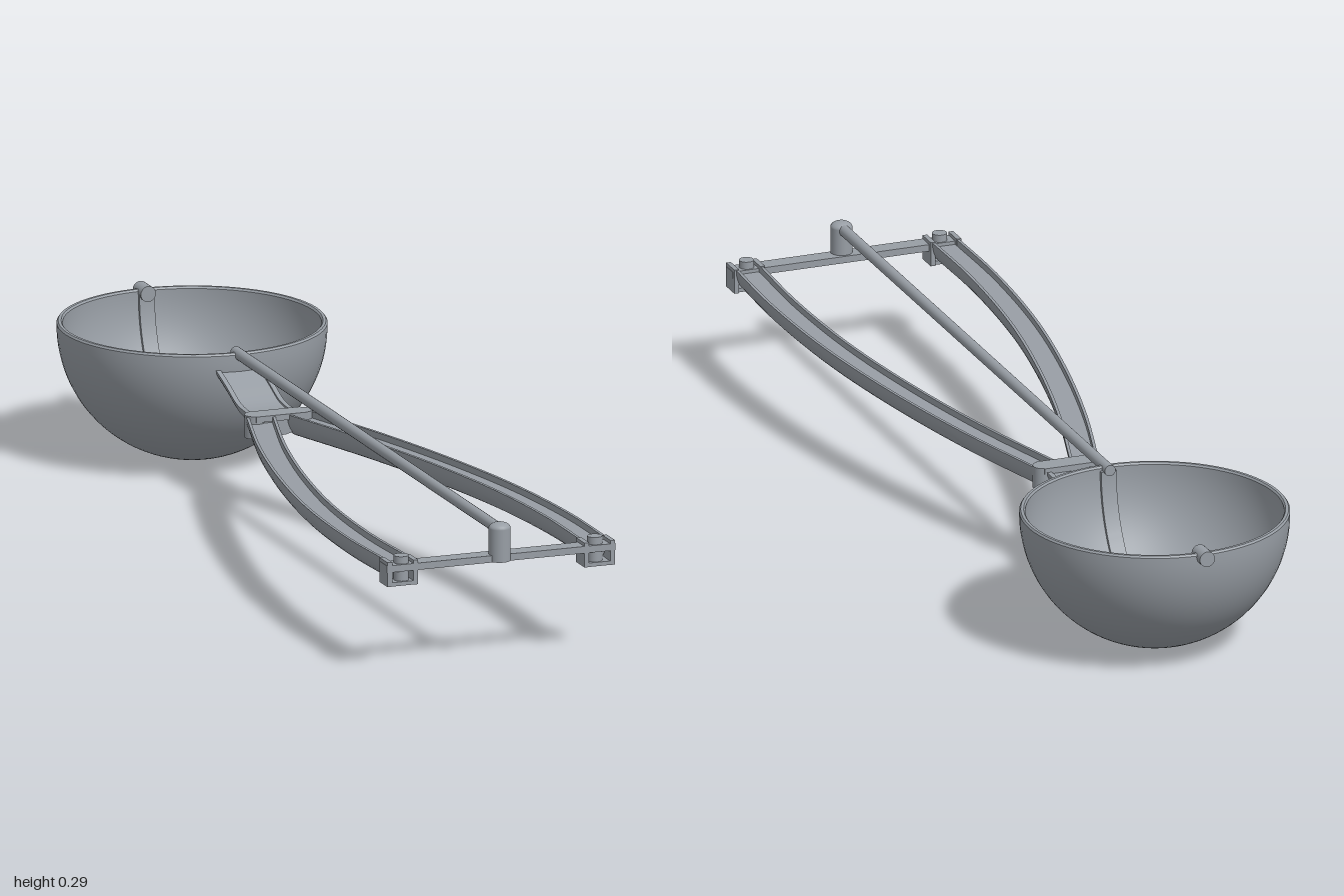
import * as THREE from 'three';
import { toCreasedNormals } from 'three/addons/utils/BufferGeometryUtils.js';

const V = (x, y, z) => new THREE.Vector3(x, y, z);

// D-shaped section: round underside, flat top with a shallow channel between two lips
function channelSection(halfW, depth, lip, recess) {
  const pts = [];
  for (let k = 0; k <= 14; k++) {
    const a = Math.PI + (k / 14) * Math.PI;
    pts.push(new THREE.Vector2(halfW * Math.cos(a), depth * Math.sin(a)));
  }
  const w = halfW - lip;
  pts.push(new THREE.Vector2(w, 0), new THREE.Vector2(w, -recess),
    new THREE.Vector2(-w, -recess), new THREE.Vector2(-w, 0));
  return pts;
}

// Sweeps a section along a path, keeping it upright
function sweep(points, section, steps) {
  const curve = new THREE.CatmullRomCurve3(points, false, 'centripetal');
  const up = V(0, 1, 0), n = section.length, pos = [], idx = [];
  for (let i = 0; i <= steps; i++) {
    const p = curve.getPoint(i / steps), t = curve.getTangent(i / steps);
    t.y = 0;
    const side = up.clone().cross(t.normalize());
    for (const q of section) {
      pos.push(p.x + side.x * q.x, p.y + q.y, p.z + side.z * q.x);
    }
  }
  for (let i = 0; i < steps; i++) {
    for (let j = 0; j < n; j++) {
      const k = (j + 1) % n, a = i * n, b = a + n;
      idx.push(a + j, a + k, b + k, a + j, b + k, b + j);
    }
  }
  const last = steps * n;
  for (const [a, b, c] of THREE.ShapeUtils.triangulateShape(section, [])) {
    idx.push(a, c, b, last + a, last + b, last + c);
  }
  const g = new THREE.BufferGeometry();
  g.setAttribute('position', new THREE.Float32BufferAttribute(pos, 3));
  g.setIndex(idx);
  return toCreasedNormals(g, 0.6);
}

export function createModel() {
  const root = new THREE.Group();
  const steel = new THREE.MeshStandardMaterial({ color: 0x989ea5 });
  steel.name = 'brushed steel';

  const add = (name, geometry, x = 0, y = 0, z = 0) => {
    const m = new THREE.Mesh(geometry, steel);
    m.name = name;
    m.position.set(x, y, z);
    root.add(m);
    return m;
  };
  const box = (name, w, h, d, x, y, z) => add(name, new THREE.BoxGeometry(w, h, d), x, y, z);
  const post = (name, r, h, x, y, z) => add(name, new THREE.CylinderGeometry(r, r, h, 24), x, y, z);

  // Hollow bowl with a softly rounded rim
  const cy = 0.268, bowlZ = -0.715, R = 0.268, r = 0.256;
  const profile = [];
  for (let i = 0; i <= 32; i++) {
    const a = (i / 32) * Math.PI / 2;
    profile.push(new THREE.Vector2(R * Math.sin(a), cy - R * Math.cos(a)));
  }
  profile.push(new THREE.Vector2(R, 0.273), new THREE.Vector2(R - 0.003, 0.277),
    new THREE.Vector2(r + 0.003, 0.277), new THREE.Vector2(r, 0.273));
  for (let i = 32; i >= 0; i--) {
    const a = (i / 32) * Math.PI / 2;
    profile.push(new THREE.Vector2(r * Math.sin(a), cy - r * Math.cos(a)));
  }
  add('bowl', toCreasedNormals(new THREE.LatheGeometry(profile, 72), 0.6), 0, 0, bowlZ);

  // Curved scraper band lying inside the bowl
  const band = new THREE.Shape();
  band.absarc(0, 0, 0.254, Math.PI, Math.PI * 2, false);
  band.absarc(0, 0, 0.247, Math.PI * 2, Math.PI, true);
  const bandGeo = new THREE.ExtrudeGeometry(band, { depth: 0.032, bevelEnabled: false, curveSegments: 40 });
  bandGeo.translate(0, 0, -0.016).rotateY(Math.PI / 2);
  add('scraperBand', toCreasedNormals(bandGeo, 0.6), 0, cy, bowlZ);

  // Scraper pivot at the far rim
  const pivot = add('scraperPivot', new THREE.CylinderGeometry(0.016, 0.016, 0.045, 24), 0, 0.27, -0.9775);
  pivot.rotation.x = Math.PI / 2;

  // Long push rod and its post on the crossbar
  const rod = add('pushRod', new THREE.CylinderGeometry(0.0115, 0.0115, 1.45, 20), 0, 0.272, 0.25);
  rod.rotation.x = Math.PI / 2;
  post('rodPost', 0.022, 0.066, 0, 0.242, 0.976);
  const cap = add('rodPostCap', new THREE.SphereGeometry(0.022, 24, 8, 0, Math.PI * 2, 0, Math.PI / 2), 0, 0.275, 0.976);
  cap.scale.y = 0.55;

  // Crossbar joining the handle ends
  box('crossbar', 0.484, 0.014, 0.036, 0, 0.215, 0.967);

  // Neck rising from the hinge to the bowl
  add('neck', sweep([V(0, 0.2, -0.225), V(0, 0.2, -0.31), V(0, 0.205, -0.345),
    V(0, 0.226, -0.4), V(0, 0.246, -0.459)], channelSection(0.05, 0.036, 0.01, 0.004), 20));

  // Hinge plate over the inner handle ends
  box('hingePlate', 0.11, 0.012, 0.044, 0, 0.202, -0.24);

  // Mirrored bowed handles with forked ends, pegs and hinge barrels
  const section = channelSection(0.029, 0.047, 0.006, 0.013);
  for (const s of [1, -1]) {
    const side = s > 0 ? 'left' : 'right';
    add(side + 'Handle', sweep([V(0.04 * s, 0.205, -0.235), V(0.106 * s, 0.209, 0),
      V(0.16 * s, 0.214, 0.25), V(0.197 * s, 0.219, 0.5), V(0.212 * s, 0.224, 0.75),
      V(0.208 * s, 0.228, 0.955)], section, 40));
    for (const x of [0.181, 0.236]) {
      box(side + 'HandleFork', 0.01, 0.05, 0.045, x * s, 0.204, 0.963);
    }
    box(side + 'ForkBase', 0.058, 0.008, 0.04, 0.2085 * s, 0.183, 0.965);
    post(side + 'HandlePeg', 0.015, 0.052, 0.205 * s, 0.211, 0.967);
    post(side + 'HingeBarrel', 0.021, 0.046, 0.05 * s, 0.185, -0.24);
  }
  return root;
}
